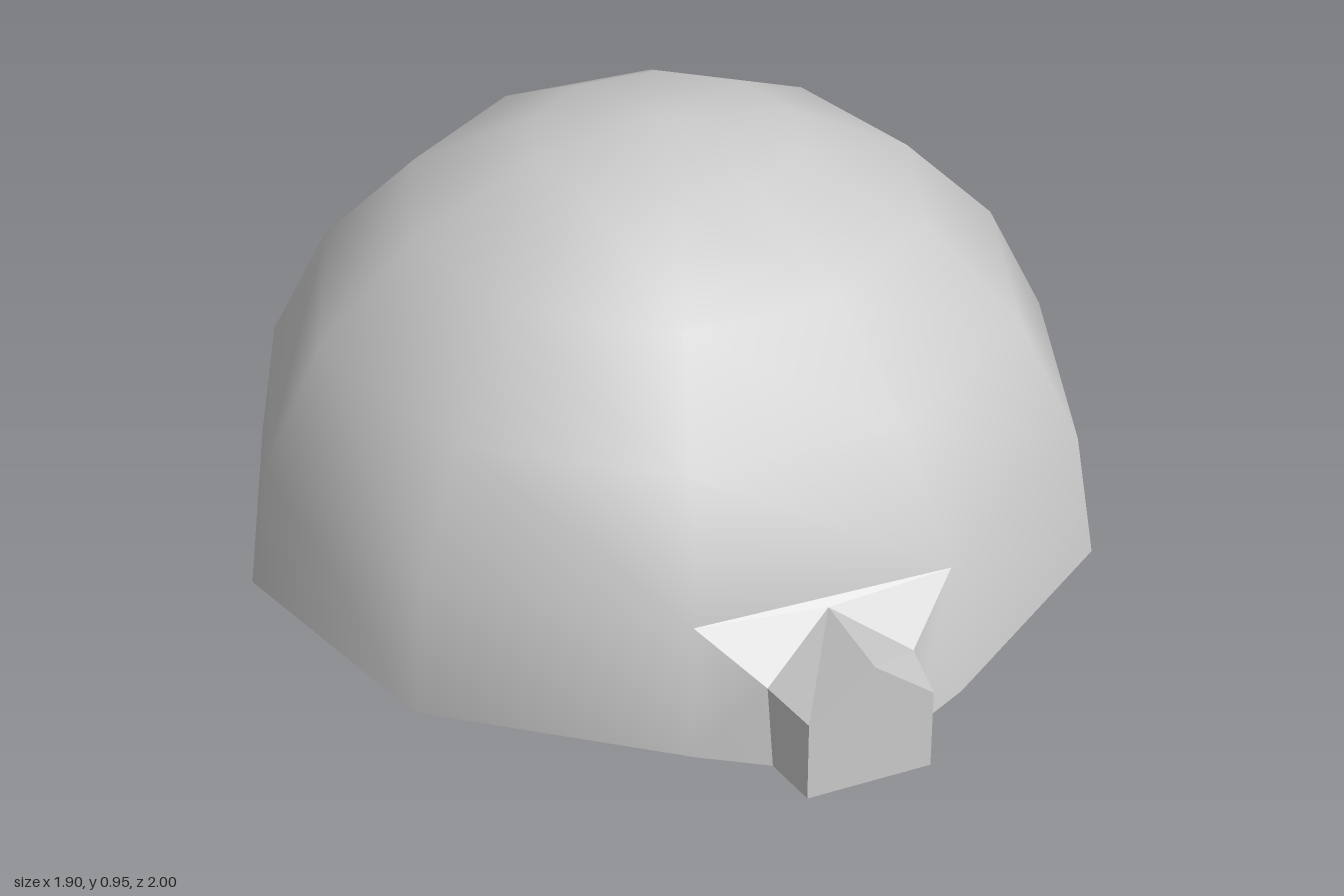
import * as THREE from 'three';

const SIDES = 10, RINGS = 5, RADIUS = 0.95, CENTRE_Z = -0.09, DOOR = 2;

// Point on the dome at a ring (0 = ground) and side
function domePoint(ring, side) {
  const up = ring * Math.PI / 2 / RINGS;
  const turn = THREE.MathUtils.degToRad(1.5) + side * 2 * Math.PI / SIDES;
  const r = RADIUS * Math.cos(up);
  return [r * Math.cos(turn), Math.max(0.01, RADIUS * Math.sin(up)), r * Math.sin(turn) + CENTRE_Z];
}

// Flat polygons, each fanned from its first corner
function flatFaces(polygons) {
  const pos = [];
  for (const p of polygons)
    for (let i = 1; i < p.length - 1; i++) pos.push(...p[0], ...p[i], ...p[i + 1]);
  const geo = new THREE.BufferGeometry();
  geo.setAttribute('position', new THREE.Float32BufferAttribute(pos, 3));
  geo.computeVertexNormals();
  return geo;
}

export function createModel() {
  const group = new THREE.Group();
  const material = new THREE.MeshStandardMaterial({ color: 0xcccccc });
  const add = (name, geo) => {
    const mesh = new THREE.Mesh(geo, material);
    mesh.name = name;
    group.add(mesh);
  };

  // Porch corners: front outline and where it meets the dome
  const f = { l0: [-0.16, 0, 1], l1: [-0.16, 0.18, 1], top: [-0.02, 0.28, 1], r1: [0.11, 0.18, 1], r0: [0.11, 0, 1] };
  const b = { l0: [-0.18, 0, 0.88], l1: [-0.185, 0.18, 0.86], top: [-0.02, 0.28, 0.785], r1: [0.135, 0.18, 0.86], r0: [0.135, 0, 0.88] };
  const domeL = domePoint(1, DOOR + 1), domeR = domePoint(1, DOOR);

  // Smooth dome shell, open at the door panel
  const pos = [], index = [];
  for (let r = 0; r < RINGS; r++)
    for (let s = 0; s < SIDES; s++) pos.push(...domePoint(r, s));
  const id = (r, s) => r * SIDES + s % SIDES;
  const apex = RINGS * SIDES;
  pos.push(0, RADIUS, CENTRE_Z);
  for (let r = 0; r < RINGS; r++) {
    for (let s = 0; s < SIDES; s++) {
      if (r === 0 && s === DOOR) continue;
      const a = id(r, s), n = id(r, s + 1);
      if (r === RINGS - 1) index.push(a, apex, n);
      else index.push(a, id(r + 1, s), id(r + 1, s + 1), a, id(r + 1, s + 1), n);
    }
  }
  // Skin beside the porch, pulled out from the dome to the porch walls
  pos.push(...b.l0, ...b.l1, ...b.r1, ...b.r0);
  const [l0, l1, r1, r0] = [1, 2, 3, 4].map(k => apex + k);
  const quad = (p, q, r, s) => index.push(p, q, r, p, r, s);
  quad(id(0, DOOR + 1), l0, l1, id(1, DOOR + 1));
  quad(r0, id(0, DOOR), id(1, DOOR), r1);
  const shell = new THREE.BufferGeometry();
  shell.setAttribute('position', new THREE.Float32BufferAttribute(pos, 3));
  shell.setIndex(index);
  shell.computeVertexNormals();
  add('dome', shell);

  // Entrance porch: front, two walls and a pitched roof
  add('porch', flatFaces([
    [f.l0, f.r0, f.r1, f.top, f.l1],
    [f.l0, f.l1, b.l1, b.l0],
    [f.r0, b.r0, b.r1, f.r1],
    [f.l1, f.top, b.top, b.l1],
    [f.top, f.r1, b.r1, b.top],
  ]));

  // Flared faces joining the porch roof to the dome
  add('porchFlare', flatFaces([
    [domeL, b.l1, b.top],
    [domeL, b.top, domeR],
    [domeR, b.top, b.r1],
  ]));

  // Underside of dome and porch
  const rim = [];
  for (let s = 0; s < SIDES; s++) {
    rim.push(domePoint(0, s));
    if (s === DOOR) rim.push(b.r0, f.r0, f.l0, b.l0);
  }
  const centre = [0, 0.01, CENTRE_Z];
  add('floor', flatFaces(rim.map((p, i) => [centre, p, rim[(i + 1) % rim.length]])));

  return group;
}
